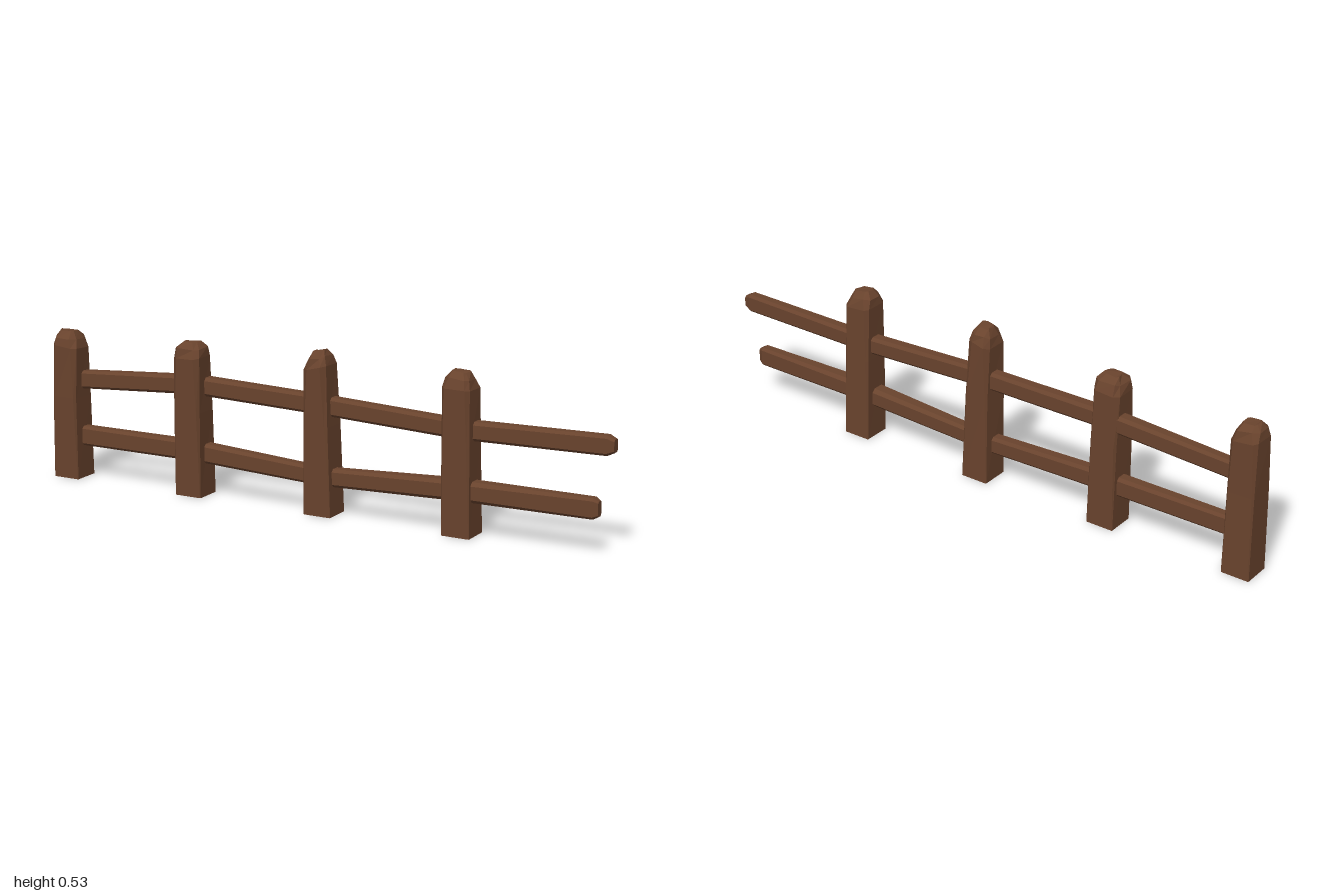
import * as THREE from 'three';

// Skin equal-sized loops of points, counter-clockwise about the direction of travel, and cap both ends.
function loft(rings) {
  const n = rings[0].length, pos = [], index = [];
  rings.forEach(r => r.forEach(p => pos.push(...p)));
  for (let i = 0; i < rings.length - 1; i++) {
    for (let j = 0; j < n; j++) {
      const a = i * n + j, b = i * n + (j + 1) % n;
      index.push(a, b, b + n, a, b + n, a + n);
    }
  }
  const last = (rings.length - 1) * n;
  for (let j = 1; j < n - 1; j++) {
    index.push(0, j + 1, j, last, last + j, last + j + 1);
  }
  const g = new THREE.BufferGeometry();
  g.setAttribute('position', new THREE.Float32BufferAttribute(pos, 3));
  g.setIndex(index);
  const flat = g.toNonIndexed();
  flat.computeVertexNormals();
  return flat;
}

// Rectangle with cut corners, as counter-clockwise (u, v) pairs.
function section(hu, hv, c) {
  return [[hu, -hv + c], [hu, hv - c], [hu - c, hv], [-hu + c, hv],
    [-hu, hv - c], [-hu, -hv + c], [-hu + c, -hv], [hu - c, -hv]];
}

function seeded(seed) {
  let s = seed;
  return () => (s = (s * 16807) % 2147483647) / 2147483647 - 0.5;
}

// Hewn post: square foot, worn corners and a blunt, uneven crown.
function postGeometry({ x, h, lean, topW, tilt, seed }) {
  const rand = seeded(seed);
  const levels = [ // height, half depth, half width, corner cut, roughness
    [0, 0.048, 0.048, 0.002, 0],
    [h * 0.55, 0.049, 0.048 * (1 + topW) / 2, 0.008, 0.003],
    [h - 0.055, 0.049, 0.048 * topW, 0.014, 0.005],
    [h - 0.025, 0.040, 0.042 * topW, 0.016, 0.008],
    [h - 0.004, 0.020, 0.026 * topW, 0.009, 0.006],
  ];
  return loft(levels.map(([y, hz, hx, c, rough]) => {
    const t = y / h;
    return section(hz, hx, c).map(([z, dx]) => [
      x + dx + lean * t + rand() * rough,
      y + (t > 0.8 ? tilt * dx : 0) + rand() * rough,
      -0.005 + z + 0.009 * t + rand() * rough,
    ]);
  }));
}

// Rail through stations of [x, y, z, half height, half depth].
function railGeometry(stations) {
  return loft(stations.map(([x, y, z, hy, hz]) =>
    section(hy, hz, Math.min(hy, hz) * 0.4).map(([dy, dz]) => [x, y + dy, z + dz])));
}

export function createModel() {
  const group = new THREE.Group();
  group.name = 'fence';
  const wood = new THREE.MeshStandardMaterial({ color: 0x69432d });
  wood.name = 'brownWood';

  const add = (name, geometry) => {
    const mesh = new THREE.Mesh(geometry, wood);
    mesh.name = name;
    group.add(mesh);
  };

  // Posts, from right to left
  [
    { x: -0.95, h: 0.505, lean: 0.003, topW: 0.96, tilt: -0.1, seed: 11 },
    { x: -0.465, h: 0.515, lean: -0.002, topW: 1.0, tilt: 0.05, seed: 47 },
    { x: 0.017, h: 0.533, lean: -0.009, topW: 0.78, tilt: 0.2, seed: 83 },
    { x: 0.502, h: 0.52, lean: -0.005, topW: 0.98, tilt: -0.05, seed: 129 },
  ].forEach((p, i) => add(`post${i + 1}`, postGeometry(p)));

  // Rails bend at each post and have blunt free ends
  add('upperRail', railGeometry([
    [-0.95, 0.333, -0.01, 0.030, 0.020],
    [-0.465, 0.364, -0.017, 0.031, 0.025],
    [0.015, 0.353, -0.005, 0.031, 0.022],
    [0.5, 0.332, -0.004, 0.030, 0.024],
    [0.975, 0.339, -0.010, 0.031, 0.020],
    [0.998, 0.339, -0.010, 0.020, 0.015],
  ]));
  add('lowerRail', railGeometry([
    [-0.95, 0.144, -0.008, 0.033, 0.020],
    [-0.465, 0.144, -0.010, 0.033, 0.024],
    [0.015, 0.122, 0.000, 0.029, 0.022],
    [0.5, 0.144, 0.005, 0.033, 0.030],
    [0.94, 0.144, 0.000, 0.033, 0.020],
    [0.957, 0.144, 0.001, 0.024, 0.013],
  ]));

  return group;
}
